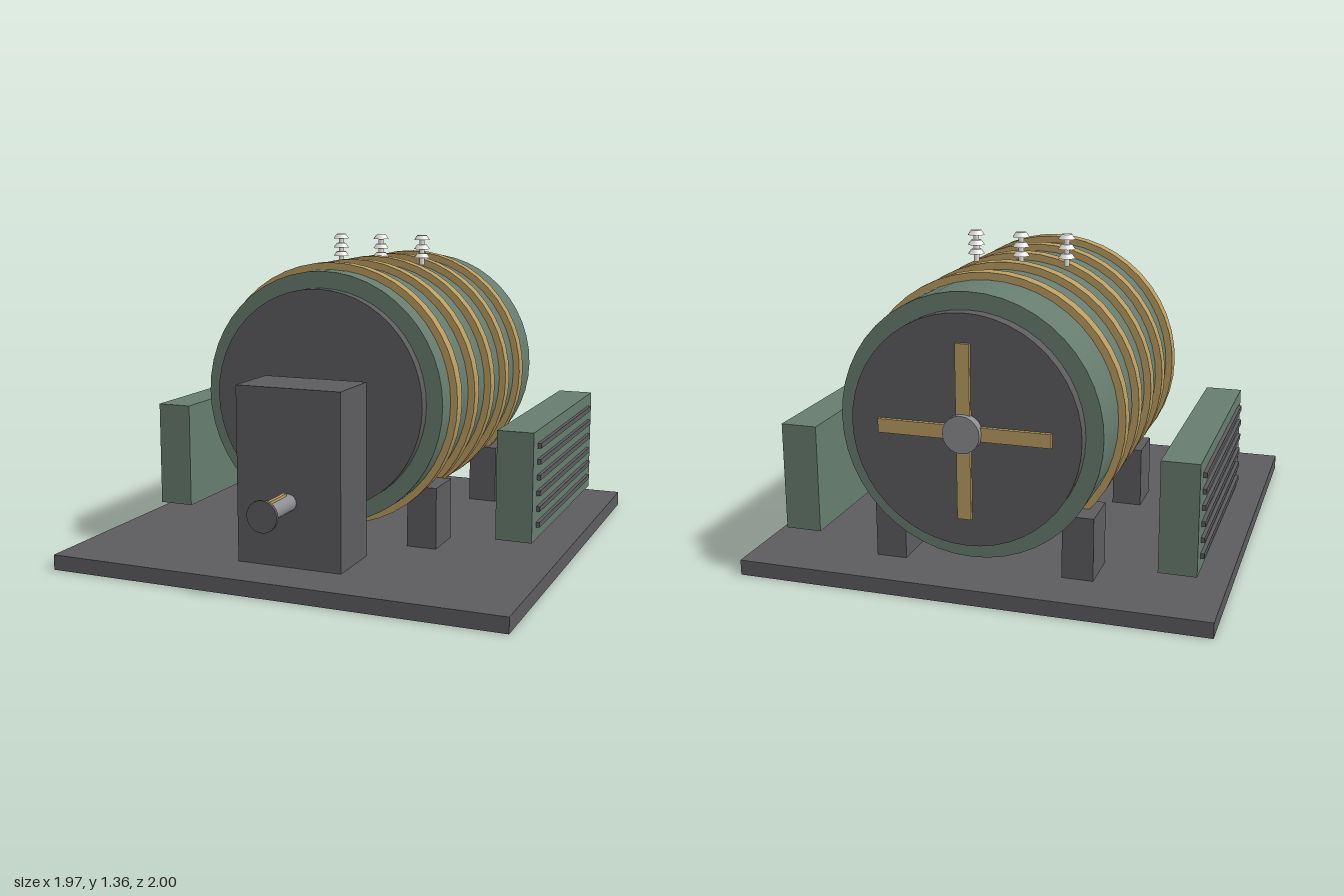
import * as THREE from 'three';

const material = (name, color) => {
  const m = new THREE.MeshStandardMaterial({ color });
  m.name = name;
  return m;
};

export function createModel() {
  const model = new THREE.Group();
  model.name = 'drumMotor';

  const dark = material('dark grey', 0x5c5b5e);
  const green = material('grey green', 0x667c6e);
  const gold = material('brass', 0xb99c60);
  const steel = material('steel', 0x8c8d91);
  const white = material('porcelain', 0xe6e6e2);

  const add = (name, geometry, mat) => {
    const mesh = new THREE.Mesh(geometry, mat);
    mesh.name = name;
    model.add(mesh);
    return mesh;
  };
  // Box given by its limits on each axis
  const box = (name, mat, x0, x1, y0, y1, z0, z1) =>
    add(name, new THREE.BoxGeometry(x1 - x0, y1 - y0, z1 - z0), mat)
      .position.set((x0 + x1) / 2, (y0 + y1) / 2, (z0 + z1) / 2);
  // Cylinder lying along z
  const disc = (name, mat, r, y, z0, z1, sides = 48) =>
    add(name, new THREE.CylinderGeometry(r, r, z1 - z0, sides).rotateX(Math.PI / 2), mat)
      .position.set(0, y, (z0 + z1) / 2);

  const axisY = 0.705;

  box('basePlate', dark, -0.985, 0.985, 0, 0.065, -0.99, 0.985);

  // Drum with end covers and five bands
  disc('drum', green, 0.535, axisY, -0.905, 0.43);
  disc('frontCover', dark, 0.465, axisY, 0.43, 0.48);
  disc('backCover', dark, 0.465, axisY, -0.96, -0.905);
  for (let i = 0; i < 5; i++) {
    const z = 0.3 - i * 0.235;
    disc('band', gold, 0.565, axisY, z - 0.03, z + 0.03);
  }

  // Cross and hub on the back cover
  box('crossBarHorizontal', gold, -0.35, 0.35, axisY - 0.028, axisY + 0.028, -0.976, -0.96);
  box('crossBarVertical', gold, -0.028, 0.028, axisY - 0.35, axisY + 0.35, -0.975, -0.96);
  disc('backHub', steel, 0.075, axisY, -1, -0.96, 20);

  // Gearbox, output shaft with key, end flange
  box('gearbox', dark, -0.23, 0.23, 0.065, 0.8, 0.5, 0.765);
  disc('shaft', steel, 0.036, 0.335, 0.765, 0.985, 20);
  box('shaftKey', gold, -0.008, 0.008, 0.36, 0.381, 0.795, 0.95);
  disc('shaftFlange', dark, 0.065, 0.335, 0.985, 1, 24);

  for (const side of [-1, 1]) {
    const span = (a, b) => (side > 0 ? [a, b] : [-b, -a]);
    // Feet under the drum
    for (const z of [0.2, -0.672])
      box('foot', dark, ...span(0.335, 0.465), 0.065, 0.33, z - 0.097, z + 0.097);
    // Side cooler with six slats on its outer face
    box('cooler', green, ...span(0.725, 0.88), 0.137, 0.6, -0.77, 0.295);
    for (let i = 0; i < 6; i++) {
      const y = 0.2 + i * 0.067;
      box('coolerSlat', dark, ...span(0.88, 0.895), y - 0.011, y + 0.011, -0.705, 0.23);
    }
  }

  // Three insulators on top, each with three sheds
  for (const x of [-0.2, 0, 0.2]) {
    add('insulatorStem', new THREE.CylinderGeometry(0.012, 0.012, 0.12, 10), white)
      .position.set(x, 1.29, -0.235);
    for (const y of [1.273, 1.312, 1.354])
      add('insulatorShed', new THREE.CylinderGeometry(0.022, 0.036, 0.02, 14), white)
        .position.set(x, y, -0.235);
  }

  return model;
}
